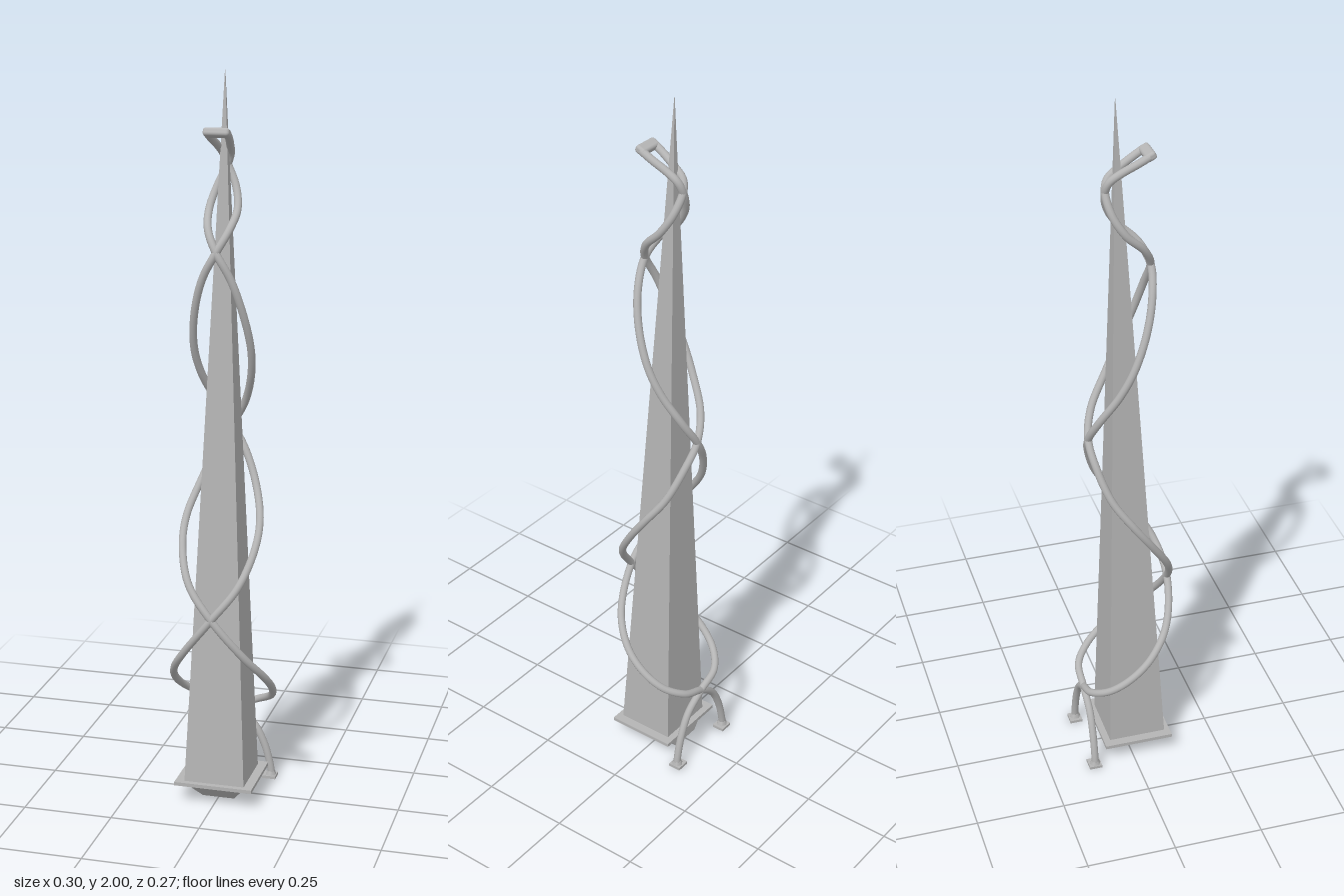
import * as THREE from 'three';
import { RoundedBoxGeometry } from 'three/addons/geometries/RoundedBoxGeometry.js';

const stone = new THREE.MeshStandardMaterial({ color: 0xb4b4b4, side: THREE.DoubleSide });
stone.name = 'grey stone';

function add(parent, name, geometry, x = 0, y = 0, z = 0) {
  const mesh = new THREE.Mesh(geometry, stone);
  mesh.name = name;
  mesh.position.set(x, y, z);
  parent.add(mesh);
  return mesh;
}

// Four flat walls between two rectangles, each given as [y, half width, back z, front z]
function walls(low, high) {
  const ring = ([y, w, back, front]) => [[-w, y, front], [w, y, front], [w, y, back], [-w, y, back]];
  const a = ring(low), b = ring(high), pos = [];
  for (let i = 0; i < 4; i++) {
    const j = (i + 1) % 4;
    pos.push(...a[i], ...a[j], ...b[j], ...a[i], ...b[j], ...b[i]);
  }
  const g = new THREE.BufferGeometry();
  g.setAttribute('position', new THREE.Float32BufferAttribute(pos, 3));
  g.computeVertexNormals();
  return g;
}

// Centre line of one serpentine tube; the other is its mirror image
const lowerPath = [
  [0.113, 0, -0.119], [0.107, 0.04, -0.119], [0.09, 0.1, -0.119], [0.058, 0.16, -0.119],
  [0, 0.207, -0.121], [-0.07, 0.236, -0.116], [-0.118, 0.268, -0.075], [-0.137, 0.315, -0.015],
  [-0.128, 0.37, 0.045], [-0.085, 0.44, 0.099], [0, 0.55, 0.126],
];
const upperPath = [
  [0.068, 0.64, 0.105], [0.1, 0.73, 0.05], [0.103, 0.8, 0], [0.08, 0.88, -0.055],
  [0.042, 0.97, -0.088], [0, 1.04, -0.099], [-0.04, 1.11, -0.08], [-0.07, 1.2, -0.03],
  [-0.078, 1.28, 0.008], [-0.065, 1.38, 0.044], [-0.038, 1.47, 0.065], [0, 1.54, 0.071],
  [0.028, 1.595, 0.045], [0.038, 1.645, -0.005], [0.025, 1.7, -0.038], [0, 1.755, -0.049],
  [-0.011, 1.785, -0.04], [-0.017, 1.808, -0.01], [-0.024, 1.83, 0.028], [-0.027, 1.848, 0.06],
];

export function createModel() {
  const model = new THREE.Group();
  model.name = 'obelisk';

  // Tall hollow spire with a slightly set-back tip
  add(model, 'spire', walls([0.05, 0.085, -0.066, 0.098], [2, 0.0005, -0.0225, -0.0215]));

  // Square rim around the foot of the spire
  const rim = new THREE.Shape();
  rim.moveTo(-0.11, -0.113).lineTo(0.11, -0.113).lineTo(0.11, 0.085).lineTo(-0.11, 0.085).closePath();
  const hole = new THREE.Path();
  hole.moveTo(-0.085, -0.098).lineTo(-0.085, 0.066).lineTo(0.085, 0.066).lineTo(0.085, -0.098).closePath();
  rim.holes.push(hole);
  const rimGeometry = new THREE.ExtrudeGeometry(rim, { depth: 0.01, bevelEnabled: false });
  rimGeometry.rotateX(-Math.PI / 2);
  add(model, 'baseRim', rimGeometry, 0, 0.05, 0);

  // Tapered open socket below the rim
  add(model, 'baseSocket', walls([0, 0.045, -0.066, 0.05], [0.052, 0.085, -0.066, 0.095]));

  // Two mirrored tubes with their feet
  for (const side of [-1, 1]) {
    const sideName = side > 0 ? 'left' : 'right';
    const points = [...lowerPath, ...upperPath].map(([x, y, z]) => new THREE.Vector3(side * x, y, z));
    const curve = new THREE.CatmullRomCurve3(points, false, 'centripetal');
    add(model, sideName + 'Tube', new THREE.TubeGeometry(curve, 240, 0.0105, 12));
    add(model, sideName + 'FootPlate', new THREE.BoxGeometry(0.038, 0.008, 0.036), side * 0.107, 0.004, -0.12);
    add(model, sideName + 'FootCollar', new THREE.CylinderGeometry(0.011, 0.016, 0.012, 6), side * 0.11, 0.014, -0.119);
  }

  // Bar joining the tube ends near the top
  const bar = add(model, 'topBar', new RoundedBoxGeometry(0.07, 0.022, 0.03, 3, 0.008), 0, 1.848, 0.061);
  bar.rotation.x = -0.45;

  return model;
}
